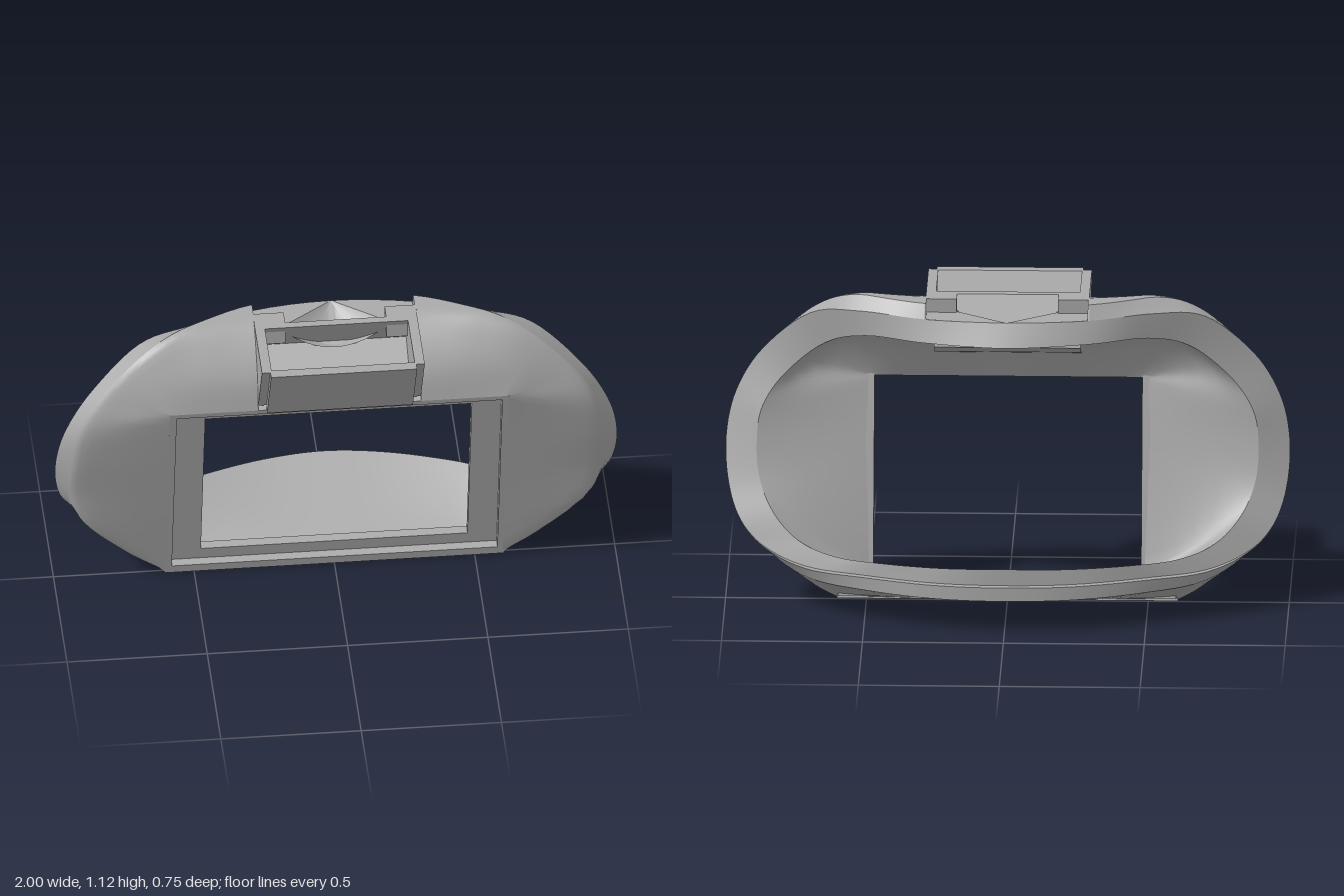
import * as THREE from 'three';
import { toCreasedNormals } from 'three/addons/utils/BufferGeometryUtils.js';

const V = (p) => new THREE.Vector3(...p);
const SLOPE = 0.23;                       // forward lean of the front plane
const TOP = 1.12;
const planeZ = (y) => 0.015 + SLOPE * y;
const SUB = 6;                            // columns per control point

// Control points of one half, from top centre round the side to bottom centre
const frameEdge = [[0, .85], [.29, .85], [.5, .85], [.6, .85], [.6, .85], [.6, .84], [.6, .65],
  [.6, .45], [.6, .02], [.6, 0], [.6, 0], [.4, 0], [.2, 0], [0, 0]].map(([x, y]) => [x, y, planeZ(y)]);
const outerRim = [[0, 1.12, -.085], [.29, 1.12, -.055], [.53, 1.118, .05], [.68, 1.06, .11], [.83, .92, .145],
  [.92, .78, .154], [.952, .62, .134], [.957, .45, .09], [.93, .32, .025], [.85, .2, -.055],
  [.7, .13, -.165], [.49, .118, -.27], [.25, .116, -.352], [0, .115, -.375]];
const midRim = [[0, 1.07, -.118], [.29, 1.07, -.085], [.52, 1.075, -.01], [.7, 1.05, .045], [.87, .9, .1],
  [.965, .74, .11], [1, .58, .085], [.99, .42, .03], [.945, .3, -.035], [.86, .22, -.1],
  [.71, .17, -.185], [.5, .166, -.272], [.25, .165, -.352], [0, .165, -.375]];
const innerRim = [[0, .99, -.165], [.29, .99, -.11], [.5, .985, -.015], [.65, .94, .038], [.79, .82, .06],
  [.87, .7, .052], [.89, .58, .035], [.88, .45, 0], [.83, .34, -.06], [.74, .255, -.12],
  [.61, .217, -.187], [.44, .216, -.262], [.22, .22, -.325], [0, .225, -.347]];
const windowEdge = frameEdge.map(([x, y]) => {
  const wy = .09 + y / .85 * .7;
  return [x * .475 / .6, wy, planeZ(wy) - .06];
});
// Bulge rows of the shell; the lower part is straight
const bulge1 = [[0, .98, .178], [.29, .98, .178], [.49, .98, .178], [.64, .95, .178], [.74, .88, .18],
  [.79, .79, .186], [.78, .64, .16], [.78, .45, .118], [.74, .14, .047]];
const bulge2 = [[0, 1.11, .065], [.29, 1.11, .065], [.51, 1.105, .09], [.66, 1.05, .13], [.81, .91, .16],
  [.895, .78, .172], [.92, .62, .15], [.925, .45, .11], [.88, .265, .07]];
// Bulge row of the inner wall
const innerBulge = [[0, .965, .025], [.29, .965, .025], [.48, .955, .06], [.6, .92, .095], [.68, .83, .115]];
const blend = (p, q, t) => V(p).lerp(V(q), t).toArray();
outerRim.forEach((p, i) => {
  if (i > 8) bulge1.push(blend(frameEdge[i], p, 1 / 3));
  if (i > 8) bulge2.push(blend(frameEdge[i], p, 2 / 3));
  if (i > 4) innerBulge.push(blend(innerRim[i], windowEdge[i], .5));
});
const lipRim = midRim.map(([x, y, z], i) => [x, y, z + (i > 9 ? .028 : i === 9 ? .014 : 0)]);

// Mirror a half row and sample it as a full loop; straight rows keep sharp corners
function sample(row, straight) {
  const pts = row.concat(row.slice(1, -1).reverse().map(([x, y, z]) => [-x, y, z])).map(V);
  const n = pts.length, out = [];
  const curve = new THREE.CatmullRomCurve3(pts, true, 'catmullrom', 0.5);
  for (let i = 0; i <= n * SUB; i++) {
    const k = Math.floor(i / SUB);
    const p = straight ? pts[k % n].clone().lerp(pts[(k + 1) % n], i / SUB - k) : curve.getPoint(i / (n * SUB));
    p.y = Math.min(p.y, TOP);
    out.push(p);
  }
  return out;
}

// Join rows of points into a creased surface
function skin(rows, keep = () => true, crease = 0.6) {
  const pos = [];
  const tri = (...p) => p.forEach((v) => pos.push(v.x, v.y, v.z));
  for (let r = 0; r < rows.length - 1; r++) {
    for (let c = 0; c < rows[r].length - 1; c++) {
      if (!keep(c)) continue;
      const a = rows[r][c], b = rows[r][c + 1], d = rows[r + 1][c + 1], e = rows[r + 1][c];
      tri(a, b, d);
      tri(a, d, e);
    }
  }
  const g = new THREE.BufferGeometry();
  g.setAttribute('position', new THREE.Float32BufferAttribute(pos, 3));
  return toCreasedNormals(g, crease);
}

// Slab with a (z, y) profile, spanning x0 to x1
function slab(profile, x0, x1) {
  const shape = new THREE.Shape(profile.map(([z, y]) => new THREE.Vector2(z, y)));
  const g = new THREE.ExtrudeGeometry(shape, { depth: x1 - x0, bevelEnabled: false });
  return g.rotateY(-Math.PI / 2).translate(x1, 0, 0);
}

// Rectangular ring in the tilted front plane
function ring(outer, inner, depth, z) {
  const k = Math.hypot(1, SLOPE);
  const rect = (T, [w, y0, y1]) =>
    new T([[-w, y0], [w, y0], [w, y1], [-w, y1]].map(([x, y]) => new THREE.Vector2(x, y * k)));
  const shape = rect(THREE.Shape, outer);
  shape.holes.push(rect(THREE.Path, inner));
  return new THREE.ExtrudeGeometry(shape, { depth, bevelEnabled: false }).translate(0, 0, z);
}

export function createModel() {
  const model = new THREE.Group();
  const grey = new THREE.MeshStandardMaterial({ color: 0xaaaaaa, side: THREE.DoubleSide });
  grey.name = 'grey plastic';
  const add = (name, geometry, parent = model) => {
    const m = new THREE.Mesh(geometry, grey);
    m.name = name;
    parent.add(m);
  };

  const [m1, m2, a, b, lip, c, d] = [bulge1, bulge2, outerRim, midRim, lipRim, innerRim, innerBulge]
    .map((row) => sample(row, false));
  const [f, w] = [frameEdge, windowEdge].map((row) => sample(row, true));

  // Outer shell, open at the top centre for the pocket and nose notch
  const STEPS = 9;
  const across = (i, pts, n) => {
    const curve = new THREE.CatmullRomCurve3(pts, false, 'catmullrom', 0.5);
    return curve.getPoints(n).map((p) => p.setY(Math.min(p.y, TOP)));
  };
  const columnsToRows = (columns) => columns[0].map((_, r) => columns.map((col) => col[r]));
  const offCentre = (i) => i >= SUB && i < f.length - 1 - SUB;
  add('outerShell', skin(columnsToRows(f.map((p, i) => across(i, [p, m1[i], m2[i], a[i]], STEPS))), offCentre));
  add('rimBand', skin([a, b], offCentre));
  add('rimStep', skin([b, lip]));
  add('rimLip', skin([lip, c]));
  add('innerShell', skin(columnsToRows(c.map((p, i) => across(i, [p, d[i], w[i]], 6)))));

  // Window frame with a stepped recess
  const frame = new THREE.Group();
  frame.name = 'windowFrame';
  frame.position.z = 0.015;
  frame.rotation.x = Math.atan(SLOPE);
  add('frameBorder', ring([.605, 0, .85], [.58, .035, .83], .03, -.03), frame);
  add('frameLedge', ring([.6, .01, .84], [.475, .085, .785], .032, -.062), frame);
  model.add(frame);

  // Tilted open pocket on the top, its floor showing inside
  add('pocketFront', slab([[.375, 1.12], [.222, .845], [.195, .86], [.335, 1.12]], -.26, .26));
  add('pocketFloor', slab([[.222, .847], [.235, .872], [.01, 1.005], [-.02, .985], [-.005, .975],
    [-.015, .945], [.045, .91]], -.26, .26));
  add('pocketBack', slab([[.09, 1.12], [.015, .985], [-.02, .985], [.06, 1.12]], -.26, .26));
  for (const s of [-1, 1]) {
    const side = s > 0 ? .255 : -.29;
    add('pocketSide', slab([[.347, 1.12], [.205, .868], [-.005, .985], [.07, 1.12]], side, side + .035));
    // Shoulders and end faces beside the nose notch
    const inner = s > 0 ? .18 : -.29;
    add('notchShoulder', slab([[.075, 1.12], [.075, 1.04], [0, 1.04], [0, 1.12]], inner, inner + .11));
    add('notchCheek', slab([[.03, 1.12], [.03, 1.06], [-.085, 1.07], [-.055, 1.12]], s * .29 - .003, s * .29 + .003));
  }

  // Nose notch floor with a flaring hollow
  const notchRows = [];
  for (let r = 0; r <= 8; r++) {
    const row = [];
    for (let i = 0; i <= 32; i++) {
      const u = i / 16 - 1, k = Math.abs(u) / .75;
      const rad = .18 * Math.min(1, r / 6);
      const x = Math.sign(u) * (k < 1 ? rad * k : rad + (.29 - rad) * (k - 1) * 3);
      const back = -.118 + .033 * (x / .29) ** 2;
      const dip = .08 * rad / .18 * Math.max(0, 1 - k * k);
      row.push(new THREE.Vector3(x, 1.07 - dip, back + (.05 - back) * r / 8));
    }
    notchRows.push(row);
  }
  add('noseNotch', skin(notchRows.reverse()));

  return model;
}
